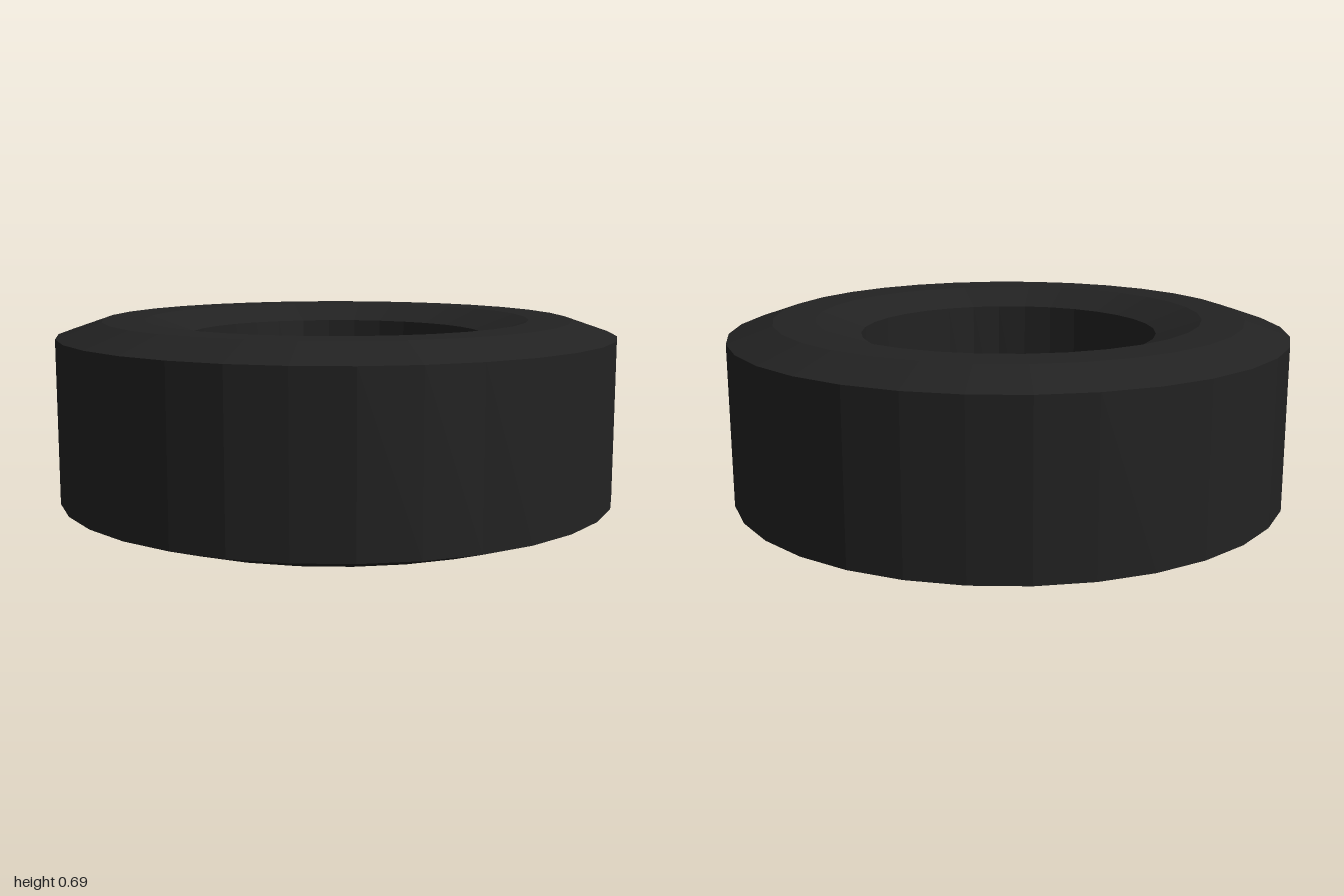
import * as THREE from 'three';

export function createModel() {
  const group = new THREE.Group();
  group.name = 'tire';

  const H = 0.69, bevel = 0.055;

  // Closed cross-section: up the tread, over the sidewall, down the bore
  const profile = [
    [0.53, bevel], [0.69, 0], [0.84, 0], [1, bevel],
    [1, H - bevel], [0.84, H], [0.69, H], [0.53, H - bevel],
    [0.53, bevel],
  ].map(([r, y]) => new THREE.Vector2(r, y));

  const ring = new THREE.Mesh(
    new THREE.LatheGeometry(profile, 32),
    new THREE.MeshStandardMaterial({ color: 0x222222, flatShading: true })
  );
  ring.name = 'tireRing';
  group.add(ring);
  return group;
}
